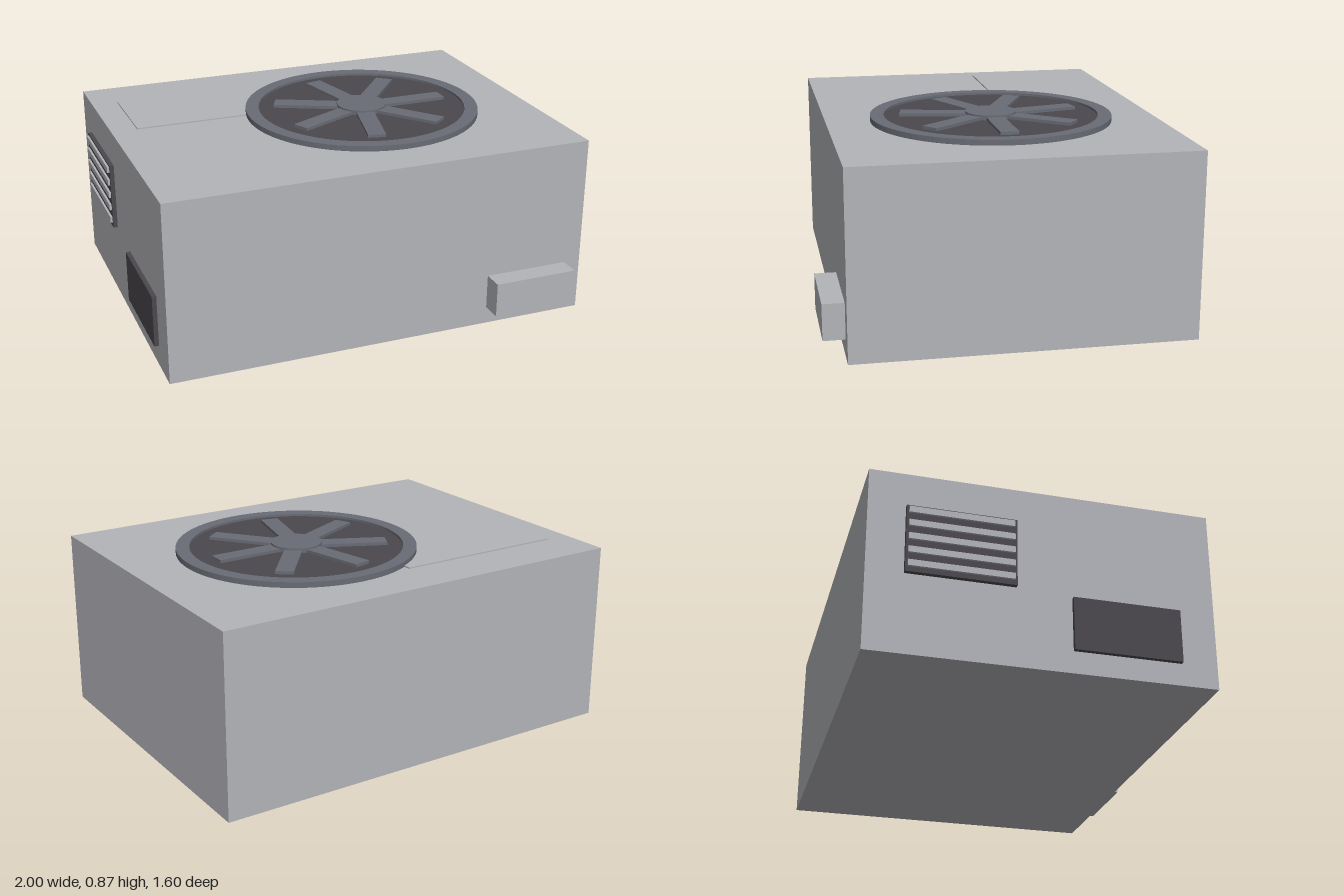
import * as THREE from 'three';

const mat = (name, color) => {
  const m = new THREE.MeshStandardMaterial({ color });
  m.name = name;
  return m;
};

export function createModel() {
  const model = new THREE.Group();
  model.name = 'rooftopFanUnit';
  const body = mat('light grey', 0xb3b4b9);
  const trim = mat('slate grey', 0x696c75);
  const dark = mat('charcoal', 0x4a484d);

  const add = (parent, name, geometry, material) => {
    const mesh = new THREE.Mesh(geometry, material);
    mesh.name = name;
    parent.add(mesh);
    return mesh;
  };
  // Box given by its lower and upper limits on each axis
  const box = (parent, name, material, [x0, x1], [y0, y1], [z0, z1]) => {
    const g = new THREE.BoxGeometry(x1 - x0, y1 - y0, z1 - z0);
    g.translate((x0 + x1) / 2, (y0 + y1) / 2, (z0 + z1) / 2);
    return add(parent, name, g, material);
  };

  // Cabinet, raised lid plate and front junction box
  box(model, 'cabinet', body, [-0.97, 1], [0, 0.83], [-0.8, 0.7]);
  box(model, 'lidPlate', body, [-0.85, -0.05], [0.825, 0.836], [-0.57, -0.17]);
  box(model, 'junctionBox', body, [0.525, 0.92], [0.08, 0.24], [0.69, 0.795]);

  // Side vent with five slats
  const vent = new THREE.Group();
  vent.name = 'sideVent';
  model.add(vent);
  box(vent, 'ventBack', dark, [-0.99, -0.965], [0.36, 0.67], [-0.64, -0.17]);
  for (let i = 0; i < 5; i++) {
    const y = 0.397 + i * 0.0625;
    box(vent, 'ventSlat', body, [-1, -0.985], [y - 0.014, y + 0.014], [-0.63, -0.18]);
  }

  // Plain access panel beside the vent
  box(model, 'accessPanel', dark, [-0.99, -0.965], [0.1, 0.34], [0.07, 0.54]);

  // Fan on the top
  const fan = new THREE.Group();
  fan.name = 'fan';
  fan.position.set(0.21, 0.83, -0.05);
  model.add(fan);

  const ringShape = new THREE.Shape().absarc(0, 0, 0.55, 0, Math.PI * 2);
  ringShape.holes.push(new THREE.Path().absarc(0, 0, 0.488, 0, Math.PI * 2, true));
  const ring = new THREE.ExtrudeGeometry(ringShape, { depth: 0.025, bevelEnabled: false, curveSegments: 48 });
  ring.rotateX(-Math.PI / 2);
  add(fan, 'fanRing', ring, trim);

  const well = new THREE.CylinderGeometry(0.495, 0.495, 0.014, 48);
  well.translate(0, 0.007, 0);
  add(fan, 'fanWell', well, dark);

  for (let i = 0; i < 7; i++) {
    const blade = box(fan, 'fanBlade', trim, [0.08, 0.415], [0.01, 0.028], [-0.041, 0.041]);
    blade.rotation.y = (i / 7) * Math.PI * 2;
  }

  const hub = new THREE.CylinderGeometry(0.117, 0.117, 0.03, 32);
  hub.translate(0, 0.021, 0);
  add(fan, 'fanHub', hub, trim);

  return model;
}
